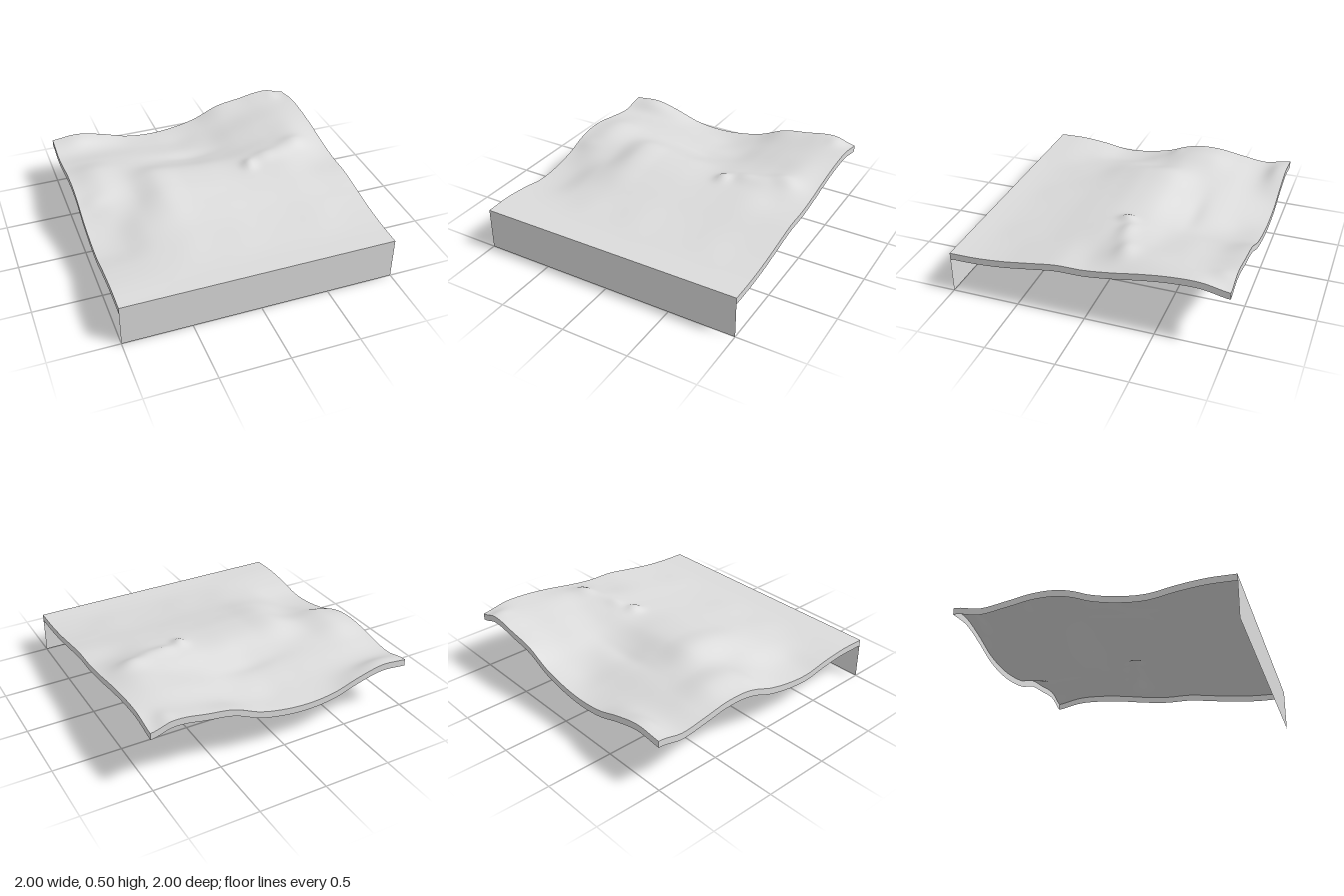
import * as THREE from 'three';

// Terrain heights in hundredths: rows run back to front, columns from x = -1 to x = 1
const HEIGHTS = [
  [39, 40.5, 36.5, 30.5, 28.5, 30, 34.5, 43, 46.5, 49.5, 45.5],
  [35.5, 35.5, 34.5, 32.5, 30.5, 29.5, 33, 39, 44, 48, 49],
  [38, 39, 38, 36.5, 34.5, 33, 34, 39.5, 44.5, 48, 48.5],
  [41, 44, 41, 39.5, 37.5, 35.5, 36.5, 40, 44, 47.5, 46],
  [40, 43, 42, 46, 44, 42.5, 41.5, 43.5, 45.5, 46, 42.5],
  [33, 36.5, 38.5, 45, 44, 43, 42, 42.5, 43, 41, 40],
  [28.5, 30.5, 36.5, 41, 40.5, 40, 39.5, 39.5, 40, 39.5, 39.5],
  [27, 28.5, 33.5, 36, 36.5, 36.5, 36, 36, 36.5, 36.5, 36.5],
  [30, 30.5, 32, 33.5, 33.5, 34, 33.5, 33.5, 34, 33.5, 33.5],
  Array(11).fill(31.8),
  Array(11).fill(31.5),
];
// Small knolls and hollows: x, z, height, radius in x, radius in z
const KNOLLS = [
  [0.33, -0.08, 0.034, 0.05, 0.06],
  [0.48, -0.14, 0.024, 0.1, 0.06],
  [0.62, -0.16, 0.012, 0.08, 0.07],
  [0.76, -0.22, 0.026, 0.1, 0.07],
  [0.87, -0.93, 0.015, 0.06, 0.08],
  [-0.8, -0.92, 0.015, 0.17, 0.06],
  [-0.9, -0.08, 0.012, 0.1, 0.06],
  [-0.05, -0.47, -0.012, 0.25, 0.06],
];
const SEGMENTS = 80;
const SKIRT = 0.05;

// Smooth curve through evenly spaced values, t from 0 to 1
function spline(values, t) {
  const last = values.length - 1;
  const i = Math.min(Math.floor(t * last), last - 1);
  const f = t * last - i;
  const a = values[Math.max(i - 1, 0)], b = values[i];
  const c = values[i + 1], d = values[Math.min(i + 2, last)];
  return b + 0.5 * f * (c - a + f * (2 * a - 5 * b + 4 * c - d + f * (3 * (b - c) + d - a)));
}

function heightAt(x, z) {
  const u = THREE.MathUtils.clamp((x + 1) / 2, 0, 1);
  const v = THREE.MathUtils.clamp((z + 1) / 2, 0, 1);
  let y = spline(HEIGHTS.map((row) => spline(row, u)), v) / 100;
  for (const [kx, kz, h, rx, rz] of KNOLLS) {
    y += h * Math.exp(-(((x - kx) / rx) ** 2) - ((z - kz) / rz) ** 2);
  }
  return y;
}

// Vertical strip hanging from one edge; the edge runs left to right seen from outside
function skirt(name, from, to, bottomOf, material) {
  const geometry = new THREE.PlaneGeometry(1, 1, SEGMENTS, 1);
  const pos = geometry.attributes.position;
  for (let i = 0; i < pos.count; i++) {
    const t = pos.getX(i) + 0.5;
    const x = THREE.MathUtils.lerp(from[0], to[0], t);
    const z = THREE.MathUtils.lerp(from[1], to[1], t);
    const top = heightAt(x, z);
    pos.setXYZ(i, x, pos.getY(i) > 0 ? top : bottomOf(top), z);
  }
  geometry.computeVertexNormals();
  const mesh = new THREE.Mesh(geometry, material);
  mesh.name = name;
  return mesh;
}

export function createModel() {
  const group = new THREE.Group();
  group.name = 'terrainTile';
  const stone = new THREE.MeshStandardMaterial({ color: 0xdbdbdb, side: THREE.DoubleSide });
  stone.name = 'light grey';

  // Rolling ground surface
  const ground = new THREE.PlaneGeometry(2, 2, SEGMENTS, SEGMENTS).rotateX(-Math.PI / 2);
  const pos = ground.attributes.position;
  for (let i = 0; i < pos.count; i++) pos.setY(i, heightAt(pos.getX(i), pos.getZ(i)));
  ground.computeVertexNormals();
  const surface = new THREE.Mesh(ground, stone);
  surface.name = 'groundSurface';
  group.add(surface);

  // Shallow skirts on three edges, full-height wall at the front
  const shallow = (top) => top - SKIRT;
  group.add(
    skirt('frontWall', [-1, 1], [1, 1], () => 0, stone),
    skirt('leftSkirt', [1, 1], [1, -1], shallow, stone),
    skirt('backSkirt', [1, -1], [-1, -1], shallow, stone),
    skirt('rightSkirt', [-1, -1], [-1, 1], shallow, stone),
  );
  return group;
}
